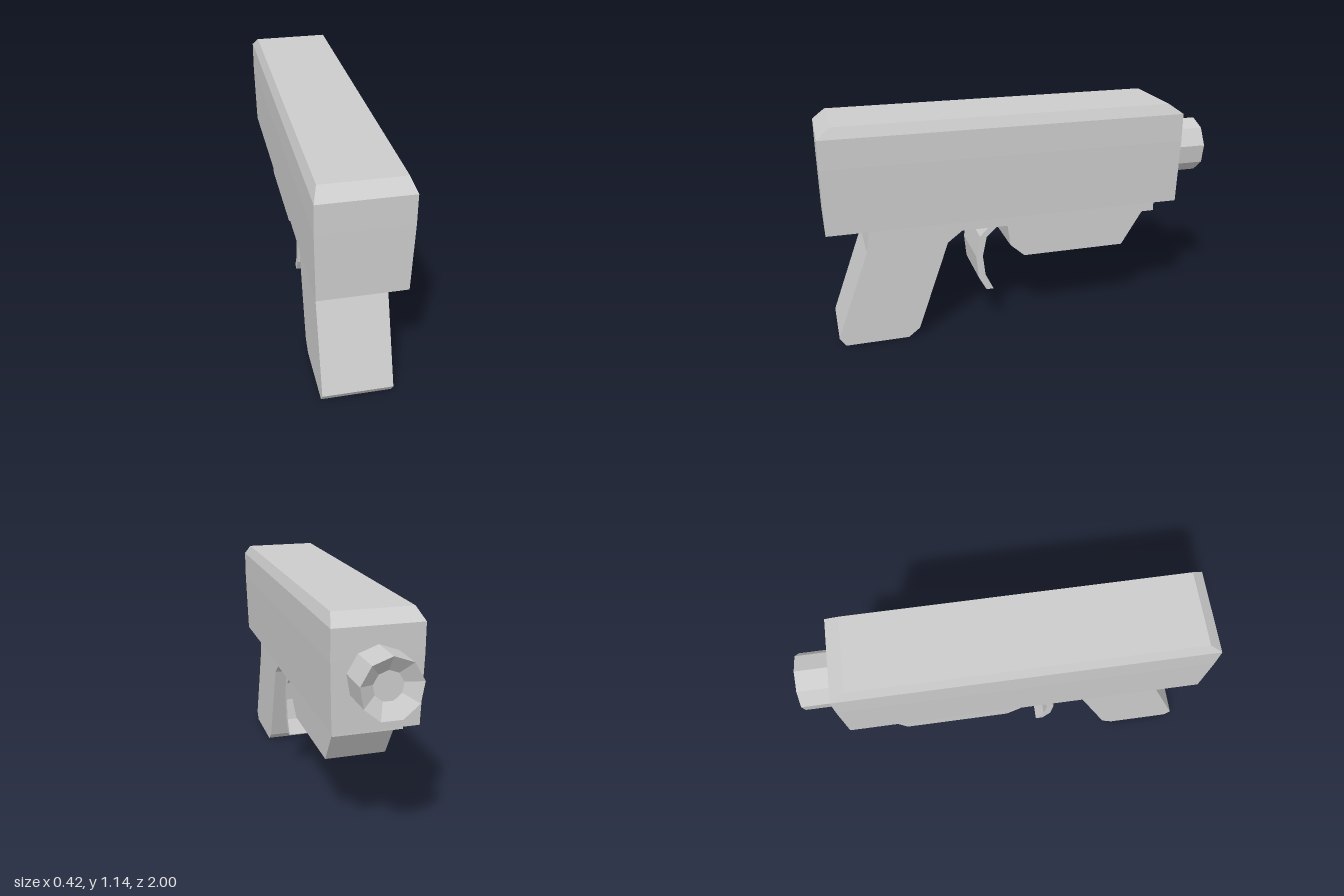
import * as THREE from 'three';

const material = new THREE.MeshStandardMaterial({ color: 0xcccccc, flatShading: true });

function addPart(group, name, geometry) {
  const mesh = new THREE.Mesh(geometry, material);
  mesh.name = name;
  group.add(mesh);
  return mesh;
}

// Extrudes a side profile of [z, y] points symmetrically across x
function sidePlate(points, halfWidth) {
  const shape = new THREE.Shape(points.map(([z, y]) => new THREE.Vector2(z, y)));
  const geo = new THREE.ExtrudeGeometry(shape, { depth: halfWidth * 2, bevelEnabled: false });
  geo.translate(0, 0, -halfWidth);
  geo.rotateY(-Math.PI / 2);
  return geo;
}

// Stacks rectangular sections [y, halfWidth, zMin, zMax] into a closed solid
function stackedBox(levels) {
  const positions = [], index = [];
  for (const [y, w, z0, z1] of levels) {
    positions.push(-w, y, z1, w, y, z1, w, y, z0, -w, y, z0);
  }
  for (let i = 0; i < levels.length - 1; i++) {
    for (let j = 0; j < 4; j++) {
      const a = i * 4 + j, b = i * 4 + (j + 1) % 4;
      index.push(a, b, b + 4, a, b + 4, a + 4);
    }
  }
  const t = (levels.length - 1) * 4;
  index.push(t, t + 1, t + 2, t, t + 2, t + 3, 0, 2, 1, 0, 3, 2);
  const geo = new THREE.BufferGeometry();
  geo.setAttribute('position', new THREE.Float32BufferAttribute(positions, 3));
  geo.setIndex(index);
  const flat = geo.toNonIndexed();
  flat.computeVertexNormals();
  return flat;
}

export function createModel() {
  const group = new THREE.Group();
  group.name = 'pistol';

  // Upper body with chamfered top and slightly tapered sides
  addPart(group, 'slide', stackedBox([
    [0.62, 0.203, -0.818, 0.997],
    [0.95, 0.212, -0.825, 1],
    [1.092, 0.212, -0.826, 1],
    [1.145, 0.19, -0.75, 0.938],
  ]));

  // Slanted grip and the rail under the slide, one profile
  addPart(group, 'gripAndRail', sidePlate([
    [0.79, 0.63], [0.808, 0.5], [0.975, 0.045], [0.945, 0], [0.625, 0],
    [0.567, 0.045], [0.405, 0.505], [0.33, 0.562], [-0.712, 0.562], [-0.712, 0.63],
  ], 0.168));

  // Block under the rail
  addPart(group, 'underBlock', sidePlate([
    [0.092, 0.57], [0.075, 0.445], [0, 0.378], [-0.545, 0.378], [-0.665, 0.57],
  ], 0.15));

  // Curved trigger
  addPart(group, 'trigger', sidePlate([
    [0.175, 0.57], [0.235, 0.51], [0.257, 0.4], [0.245, 0.28], [0.205, 0.207],
    [0.167, 0.207], [0.208, 0.285], [0.222, 0.4], [0.2, 0.505], [0.13, 0.57],
  ], 0.148));

  // Nine-sided barrel with a funnel-shaped muzzle
  const profile = [[0.143, 0.8], [0.143, 1], [0.07, 0.95], [0, 0.95]];
  const barrel = new THREE.LatheGeometry(profile.map(([r, y]) => new THREE.Vector2(r, y)), 9);
  barrel.rotateX(-Math.PI / 2);
  addPart(group, 'barrel', barrel).position.y = 0.867;

  return group;
}
